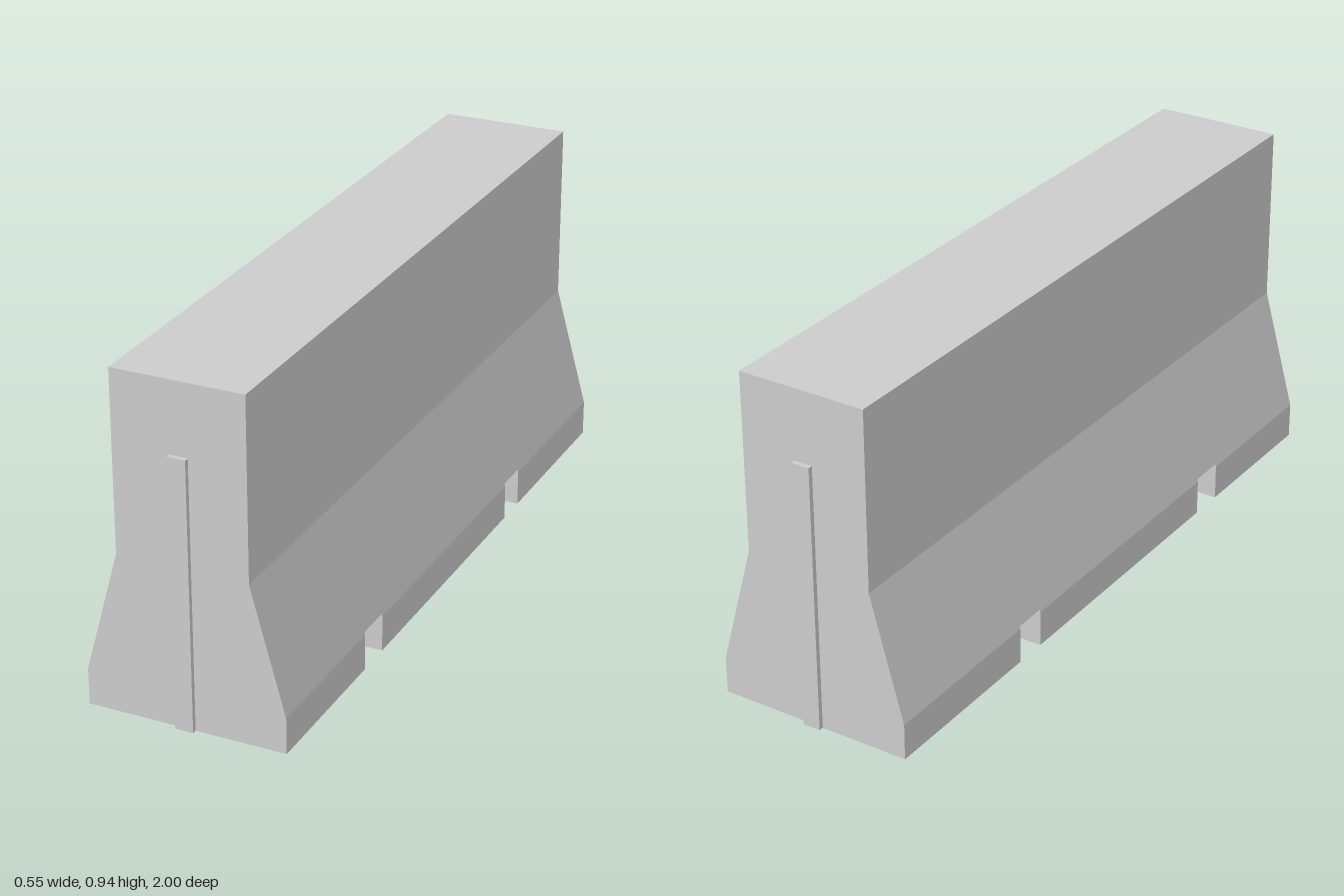
import * as THREE from 'three';

const HALF = 0.987;       // half length of the concrete body
const SLOT_TOP = 0.107;   // height of the lifting slots
const TOE_TOP = 0.1;      // where the vertical toe meets the slope
const SLOPE_TOP = 0.443;
const TOP = 0.937;
const BASE_W = 0.274;
const TOP_W = 0.18;

const material = new THREE.MeshStandardMaterial({ color: 0xcccccc, flatShading: true });

// Half width of the sloped flank at height y
const flank = (y) => BASE_W + (TOP_W - BASE_W) * (y - TOE_TOP) / (SLOPE_TOP - TOE_TOP);

// Extrudes a mirrored profile, given as [half width, y] going up, from z0 to z1
function prism(name, side, z0, z1) {
  const right = side.map(([x, y]) => new THREE.Vector2(x, y));
  const left = side.map(([x, y]) => new THREE.Vector2(-x, y)).reverse();
  const geometry = new THREE.ExtrudeGeometry(new THREE.Shape([...right, ...left]), {
    depth: z1 - z0, bevelEnabled: false,
  });
  geometry.translate(0, 0, z0);
  const mesh = new THREE.Mesh(geometry, material);
  mesh.name = name;
  return mesh;
}

export function createModel() {
  const group = new THREE.Group();
  group.name = 'concreteBarrier';

  // Sloped flanks and upright wall above the slots
  group.add(prism('barrierWall', [
    [flank(SLOT_TOP), SLOT_TOP], [TOP_W, SLOPE_TOP], [TOP_W, TOP],
  ], -HALF, HALF));

  // Three feet, separated by the two slots running across the base
  const feet = [['backFoot', -HALF, -0.472], ['middleFoot', -0.377, 0.44], ['frontFoot', 0.543, HALF]];
  for (const [name, z0, z1] of feet) {
    group.add(prism(name, [[BASE_W, 0], [BASE_W, TOE_TOP], [flank(SLOT_TOP), SLOT_TOP]], z0, z1));
  }

  // Narrow connecting rib on each end
  for (const [name, s] of [['frontRib', 1], ['backRib', -1]]) {
    const rib = new THREE.Mesh(new THREE.BoxGeometry(0.05, 0.742, 0.033), material);
    rib.position.set(0, 0.371, s * (1 - 0.0165));
    rib.name = name;
    group.add(rib);
  }
  return group;
}
